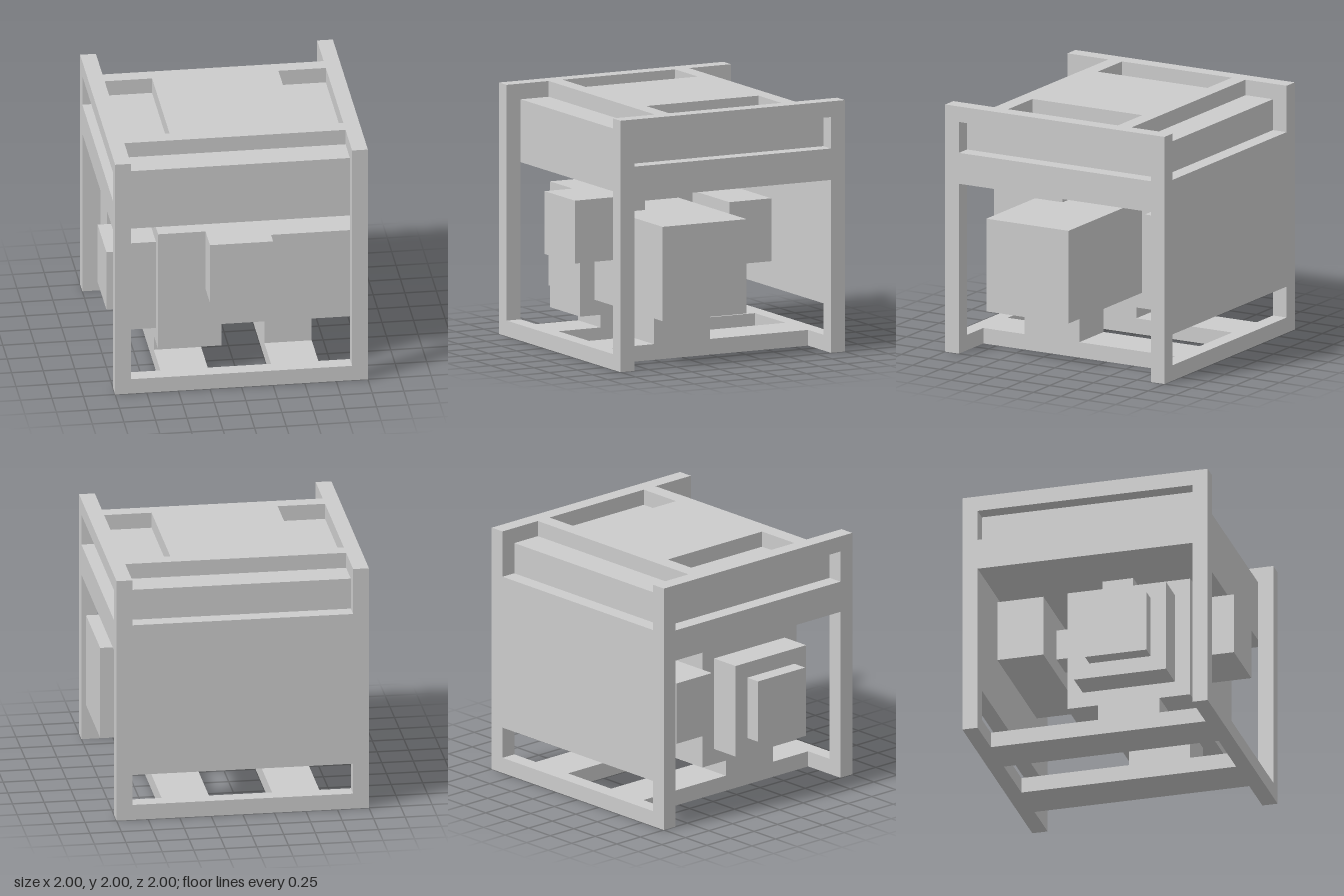
import * as THREE from 'three';

const U = 0.125; // the whole model sits on a 16-step grid
const material = new THREE.MeshStandardMaterial({ color: 0xcccccc, flatShading: true });

// Box between two corners, in grid steps
function box(parent, name, [x0, x1], [y0, y1], [z0, z1]) {
  const geometry = new THREE.BoxGeometry((x1 - x0) * U, (y1 - y0) * U, (z1 - z0) * U);
  const mesh = new THREE.Mesh(geometry, material);
  mesh.name = name;
  mesh.position.set((x0 + x1) * U / 2, (y0 + y1) * U / 2, (z0 + z1) * U / 2);
  parent.add(mesh);
}

// Ordered range mirrored to the given side
const side = (s, a, b) => (s > 0 ? [a, b] : [-b, -a]);

function part(parent, name) {
  const group = new THREE.Group();
  group.name = name;
  parent.add(group);
  return group;
}

export function createModel() {
  const model = new THREE.Group();
  model.name = 'framedGenerator';

  // Open frame: posts, cross beams, base rails and slotted upper sides
  const frame = part(model, 'frame');
  for (const s of [-1, 1]) {
    for (const t of [-1, 1]) box(frame, 'cornerPost', side(s, 7, 8), [0, 16], side(t, 7, 8));
    box(frame, 'baseCrossBeam', [-7, 7], [0, 1], side(s, 7, 8));
    box(frame, 'baseRail', side(s, 2, 5), [0, 1], [-7, 7]);
    box(frame, 'lowerSideBeam', side(s, 7, 8), [11, 13], [-7, 7]);
    box(frame, 'upperSideBeam', side(s, 7, 8), [15, 16], [-7, 7]);
  }
  box(frame, 'backPanel', [-7, 7], [3, 13], [-8, -7]);

  // Tank with a raised lid that leaves a pocket at each side
  const tank = part(model, 'tank');
  box(tank, 'tankBody', [-7, 7], [11, 15], [-7, 7]);
  box(tank, 'lidCentre', [-4, 4], [15, 16], [-5, 5]);
  for (const s of [-1, 1]) {
    for (const t of [-1, 1]) box(tank, 'lidEdge', side(s, 4, 7), [15, 16], side(t, 4, 5));
  }

  // Engine and alternator hung between the rails and the tank
  const engine = part(model, 'engine');
  box(engine, 'engineBlock', [-5, -1], [2, 10], [-2, 6]);
  box(engine, 'alternator', [-1, 8], [3, 9], [-1, 5]);
  box(engine, 'starterHousing', [-7, -5], [3, 9], [-1, 5]);
  box(engine, 'starterCap', [-8, -7], [4, 8], [0, 4]);
  box(engine, 'airFilter', [-2, 2], [6, 10], [3, 8]);
  box(engine, 'fuelPipe', [-4, -2], [10, 11], [0, 2]);
  box(engine, 'exhaustPipe', [-4, -2], [6, 8], [-3, -2]);
  box(engine, 'muffler', [-7, 2], [5, 9], [-6, -3]);
  box(engine, 'engineMount', [-5, -2], [1, 2], [0, 4]);
  box(engine, 'alternatorMount', [2, 5], [1, 3], [0, 4]);

  return model;
}
